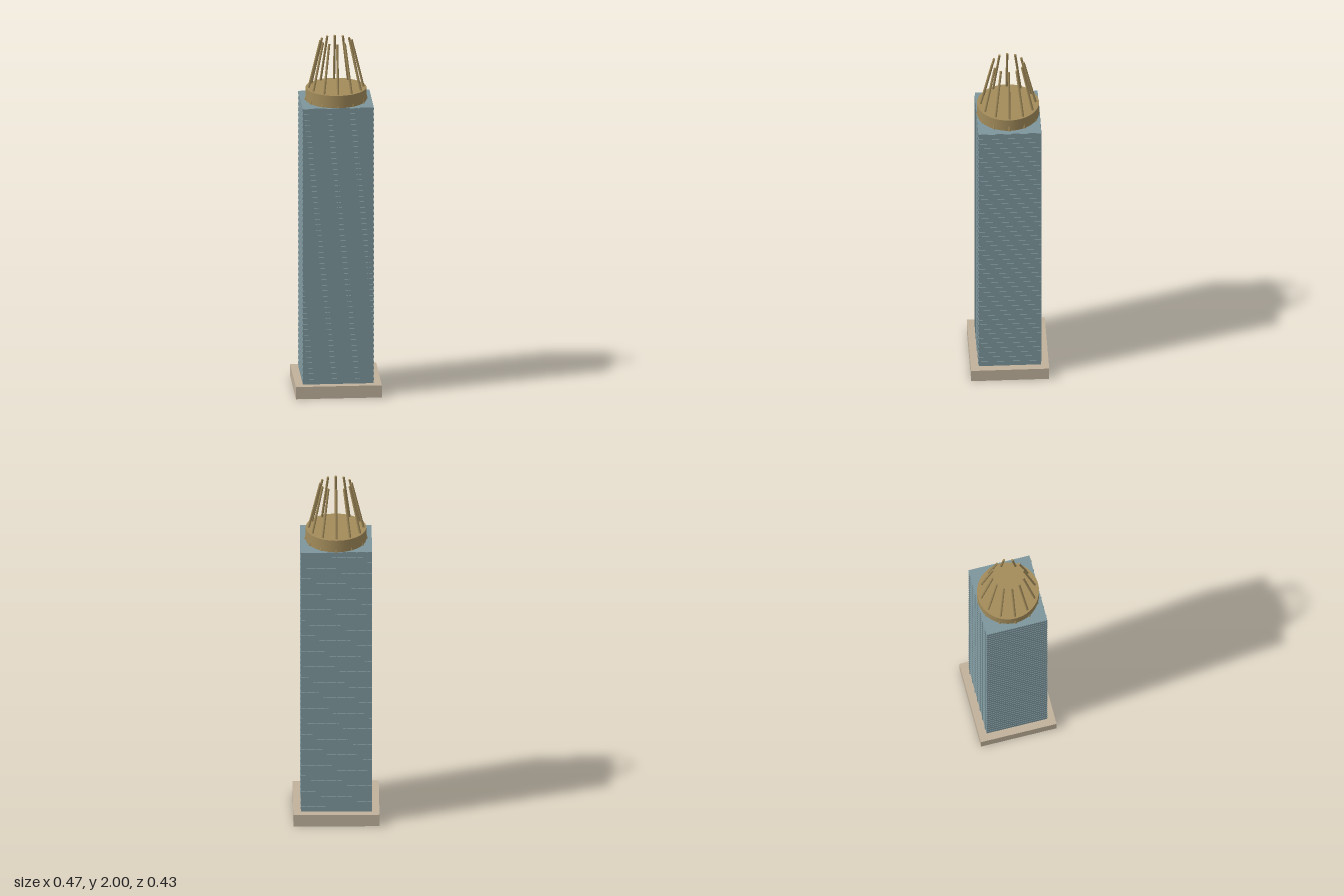
import * as THREE from 'three';

const paint = (color) => new THREE.MeshStandardMaterial({ color });

export function createModel() {
  const model = new THREE.Group();
  const stone = paint(0xc0b19b);
  const glass = paint(0x7d969c);
  const bronze = paint(0xa38c5b);

  const add = (parent, name, geometry, material, x = 0, y = 0, z = 0) => {
    const mesh = new THREE.Mesh(geometry, material);
    mesh.name = name;
    mesh.position.set(x, y, z);
    parent.add(mesh);
    return mesh;
  };
  const group = (name) => {
    const g = new THREE.Group();
    g.name = name;
    model.add(g);
    return g;
  };

  const W = 0.39, D = 0.342, baseTop = 0.07, roof = 1.657;

  // Plinth: a rectangular frame around the foot of the tower
  const outline = (w, d, Type) => new Type([
    new THREE.Vector2(-w / 2, -d / 2), new THREE.Vector2(w / 2, -d / 2),
    new THREE.Vector2(w / 2, d / 2), new THREE.Vector2(-w / 2, d / 2),
  ]);
  const frame = outline(0.474, 0.43, THREE.Shape);
  frame.holes.push(outline(W, D, THREE.Path));
  const plinth = new THREE.ExtrudeGeometry(frame, { depth: baseTop, bevelEnabled: false });
  plinth.rotateX(-Math.PI / 2);
  add(model, 'plinth', plinth, stone);

  // Tower core
  add(model, 'towerCore', new THREE.BoxGeometry(W, roof, D), glass, 0, roof / 2, 0);

  // Floor bands, standing slightly proud of the core
  const floors = group('floorBands');
  const count = 50, pitch = (roof - baseTop) / count;
  const band = new THREE.BoxGeometry(W + 0.004, pitch * 0.4, D + 0.004);
  for (let i = 0; i < count; i++) {
    add(floors, 'floorBand', band, glass, 0, baseTop + pitch * (i + 0.75), 0);
  }

  // Vertical mullions on the front and back faces
  const mullions = group('mullions');
  const mullion = new THREE.BoxGeometry(0.006, roof - baseTop - 0.004, 0.006);
  for (let i = -3; i <= 3; i++) {
    for (const side of [-1, 1]) {
      add(mullions, 'mullion', mullion, glass, i * 0.056, (roof + baseTop) / 2, side * (D / 2 + 0.001));
    }
  }

  // Crown drum
  const drum = add(model, 'crownDrum', new THREE.CylinderGeometry(0.167, 0.167, 0.075, 48), bronze, 0, 1.69, 0);
  drum.scale.z = 1.025;

  // Twelve leaning spires
  const spires = group('spires');
  const up = new THREE.Vector3(0, 1, 0);
  for (let i = 0; i < 12; i++) {
    const a = (i * Math.PI) / 6;
    const at = (r, y) => new THREE.Vector3(Math.cos(a) * r, y, Math.sin(a) * r);
    const foot = at(0.169, 1.654), tip = at(0.086, 1.998);
    const axis = tip.clone().sub(foot);
    const spire = add(spires, 'spire', new THREE.CylinderGeometry(0.0065, 0.0065, axis.length(), 8), bronze);
    spire.position.copy(foot).add(tip).multiplyScalar(0.5);
    spire.quaternion.setFromUnitVectors(up, axis.normalize());
  }

  return model;
}
